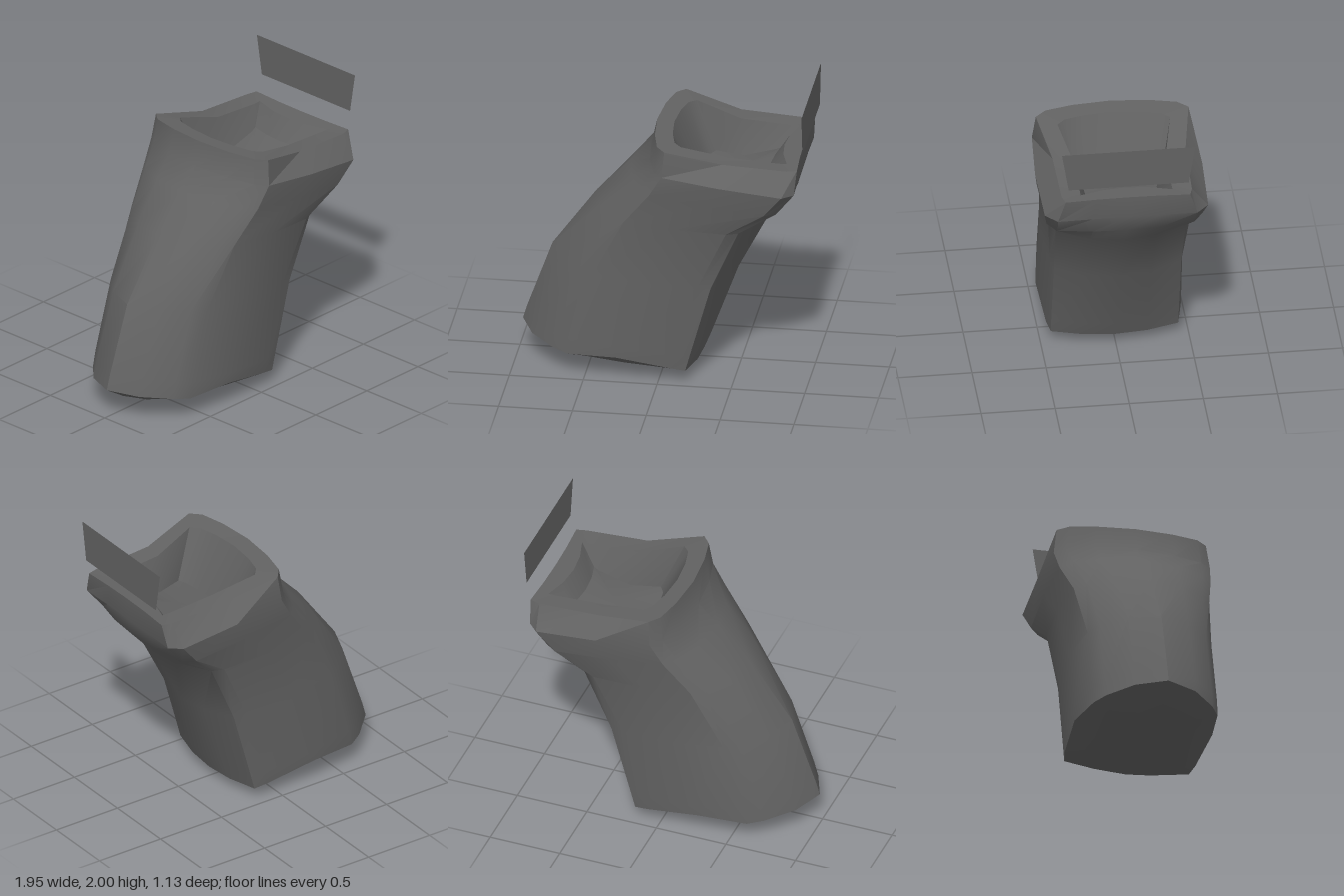
import * as THREE from 'three';
import { toCreasedNormals } from 'three/addons/utils/BufferGeometryUtils.js';

const grey = new THREE.MeshStandardMaterial({ color: 0x626262 });
grey.name = 'dark grey';
const greyThin = new THREE.MeshStandardMaterial({ color: 0x626262, side: THREE.DoubleSide });
greyThin.name = 'dark grey two-sided';

// Side outline from the rounded back to the flat front: position along the
// section and share of the half width, for a round back and for a square back.
const ROUND = [[0, 0], [0.08, 0.44], [0.22, 0.77], [0.31, 0.9], [0.6, 1], [0.92, 0.95]];
const SQUARE = [[0, 0], [0.02, 0.5], [0.06, 0.86], [0.12, 1], [0.5, 1], [0.93, 0.98]];

// One closed section, tilted in y, symmetric in z.
// back/corner/front are [x, y]; pinch narrows the sides, sag lowers them.
function section({ back, corner, front, width, cornerZ, round, pinch = 1, sag = 0 }) {
  const half = ROUND.map(([t0, w0], i) => {
    const [t1, w1] = SQUARE[i];
    const t = THREE.MathUtils.lerp(t1, t0, round);
    const w = THREE.MathUtils.lerp(w1, w0, round) * width * (i > 3 ? pinch : 1);
    const y = THREE.MathUtils.lerp(back[1], corner[1], t) + (i > 3 ? -sag : sag * 0.3) * 4 * t * (1 - t);
    return [THREE.MathUtils.lerp(back[0], corner[0], t), y, w];
  });
  half.push([corner[0], corner[1], cornerZ]);
  const bow = (a, b) => a + (b - a) * 0.75;
  half.push([bow(corner[0], front[0]), bow(corner[1], front[1]), cornerZ * 0.5]);
  half.push([front[0], front[1], 0]);
  const mirrored = half.slice(1, -1).reverse().map(([x, y, z]) => [x, y, -z]);
  return [...half, ...mirrored];
}

// Skin a stack of sections and close both ends with fans.
function loft(rings) {
  const n = rings[0].length;
  const points = rings.flat();
  const index = [];
  for (let i = 0; i < rings.length - 1; i++) {
    for (let j = 0; j < n; j++) {
      const a = i * n + j, b = i * n + (j + 1) % n;
      index.push(a, b, b + n, a, b + n, a + n);
    }
  }
  const centre = (ring) => [0, 1, 2].map((k) => ring.reduce((s, p) => s + p[k], 0) / n);
  const bottom = points.push(centre(rings[0])) - 1;
  const top = points.push(centre(rings[rings.length - 1])) - 1;
  const last = (rings.length - 1) * n;
  for (let j = 0; j < n; j++) {
    const k = (j + 1) % n;
    index.push(bottom, k, j, top, last + j, last + k);
  }
  const geometry = new THREE.BufferGeometry();
  geometry.setAttribute('position', new THREE.Float32BufferAttribute(points.flat(), 3));
  geometry.setIndex(index);
  return toCreasedNormals(geometry, 0.6);
}

export function createModel() {
  const model = new THREE.Group();
  model.name = 'grip';

  const levels = [
    // domed base
    { back: [-0.4, 0.01], corner: [0.03, 0.005], front: [0.06, 0], width: 0.06, cornerZ: 0.05, round: 1 },
    { back: [-0.82, 0.1], corner: [0.12, 0.04], front: [0.2, 0.04], width: 0.32, cornerZ: 0.28, round: 1 },
    // handle
    { back: [-0.98, 0.2], corner: [0.18, 0.08], front: [0.25, 0.07], width: 0.475, cornerZ: 0.43, round: 1, sag: -0.04 },
    { back: [-0.95, 0.3], corner: [0.21, 0.19], front: [0.295, 0.18], width: 0.48, cornerZ: 0.43, round: 1 },
    { back: [-0.78, 0.77], corner: [0.35, 0.69], front: [0.48, 0.68], width: 0.47, cornerZ: 0.43, round: 0.9 },
    { back: [-0.48, 1.18], corner: [0.54, 1.12], front: [0.71, 1.12], width: 0.5, cornerZ: 0.44, round: 0.65 },
    // flared collar
    { back: [-0.25, 1.42], corner: [0.8, 1.29], front: [0.88, 1.31], width: 0.54, cornerZ: 0.46, round: 0.35 },
    { back: [-0.11, 1.56], corner: [0.92, 1.44], front: [0.915, 1.44], width: 0.545, cornerZ: 0.47, round: 0.1, pinch: 1.035 },
    // rim
    { back: [-0.07, 1.73], corner: [0.935, 1.6], front: [0.92, 1.6], width: 0.515, cornerZ: 0.42, round: 0, pinch: 0.87, sag: 0.04 },
    { back: [0.045, 1.715], corner: [0.85, 1.595], front: [0.79, 1.595], width: 0.38, cornerZ: 0.31, round: 0, pinch: 0.83, sag: 0.035 },
    // hollow
    { back: [0.22, 1.36], corner: [0.74, 1.46], front: [0.7, 1.46], width: 0.31, cornerZ: 0.25, round: 0, pinch: 0.8, sag: 0.03 },
  ];
  const body = new THREE.Mesh(loft(levels.map(section)), grey);
  body.name = 'gripBody';
  model.add(body);

  // thin upright plate floating above the front of the rim
  const outline = new THREE.Shape([[-0.405, 1.72], [0.405, 1.72], [0.45, 2], [-0.45, 2]]
    .map(([z, y]) => new THREE.Vector2(z, y)));
  const plate = new THREE.Mesh(new THREE.ShapeGeometry(outline), greyThin);
  plate.name = 'uprightPlate';
  plate.rotation.y = Math.PI / 2;
  plate.position.x = 0.97;
  model.add(plate);

  return model;
}
